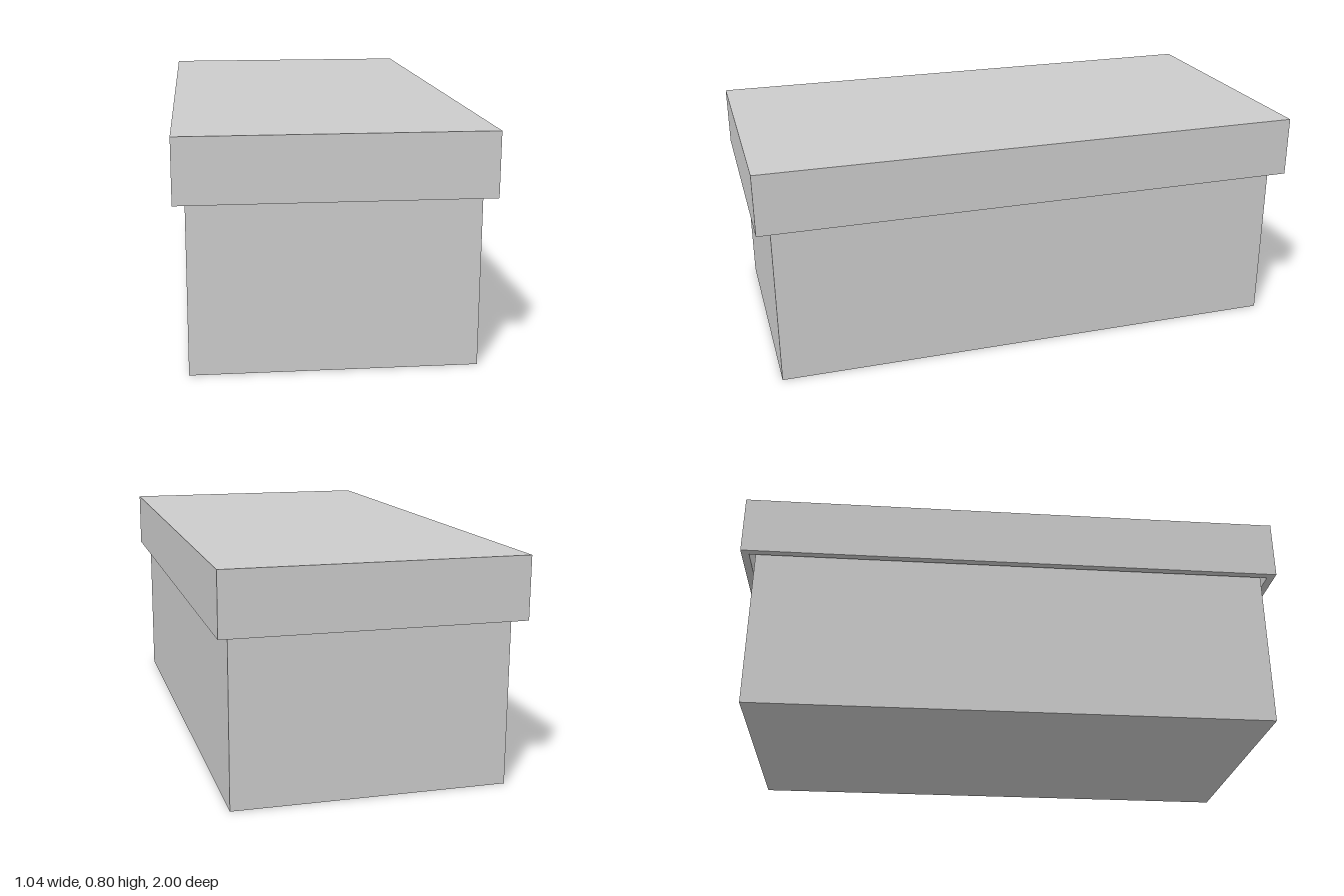
import * as THREE from 'three';

const WALL = 0.028; // thickness of the board

// Rectangular outline centred on the origin
function rectangle(Type, w, d) {
  const x = w / 2, z = d / 2;
  return new Type([[-x, -z], [x, -z], [x, z], [-x, z]].map(([a, b]) => new THREE.Vector2(a, b)));
}

// Four joined upright walls standing on y = 0
function wallRing(w, d, h) {
  const shape = rectangle(THREE.Shape, w, d);
  shape.holes.push(rectangle(THREE.Path, w - 2 * WALL, d - 2 * WALL));
  return new THREE.ExtrudeGeometry(shape, { depth: h, bevelEnabled: false }).rotateX(-Math.PI / 2);
}

// Open tray: walls plus one flat panel closing the bottom
function tray(name, w, d, h, material) {
  const group = new THREE.Group();
  group.name = name;
  const panel = new THREE.Mesh(new THREE.BoxGeometry(w, WALL, d), material);
  panel.name = name + 'Panel';
  panel.position.y = WALL / 2;
  const walls = new THREE.Mesh(wallRing(w, d, h - WALL), material);
  walls.name = name + 'Walls';
  walls.position.y = WALL;
  group.add(panel, walls);
  return group;
}

export function createModel() {
  const model = new THREE.Group();
  model.name = 'liddedBox';
  const material = new THREE.MeshStandardMaterial({ color: 0xcccccc, flatShading: true });
  const top = 0.801;

  // Box body, open at the top, reaching up to the underside of the lid
  const body = tray('boxBody', 0.958, 1.9, top - WALL, material);

  // Lid: a wider, shallow tray turned upside down over the body
  const lid = tray('lid', 1.036, 2, 0.218, material);
  lid.rotation.z = Math.PI;
  lid.position.y = top;

  model.add(body, lid);
  return model;
}
